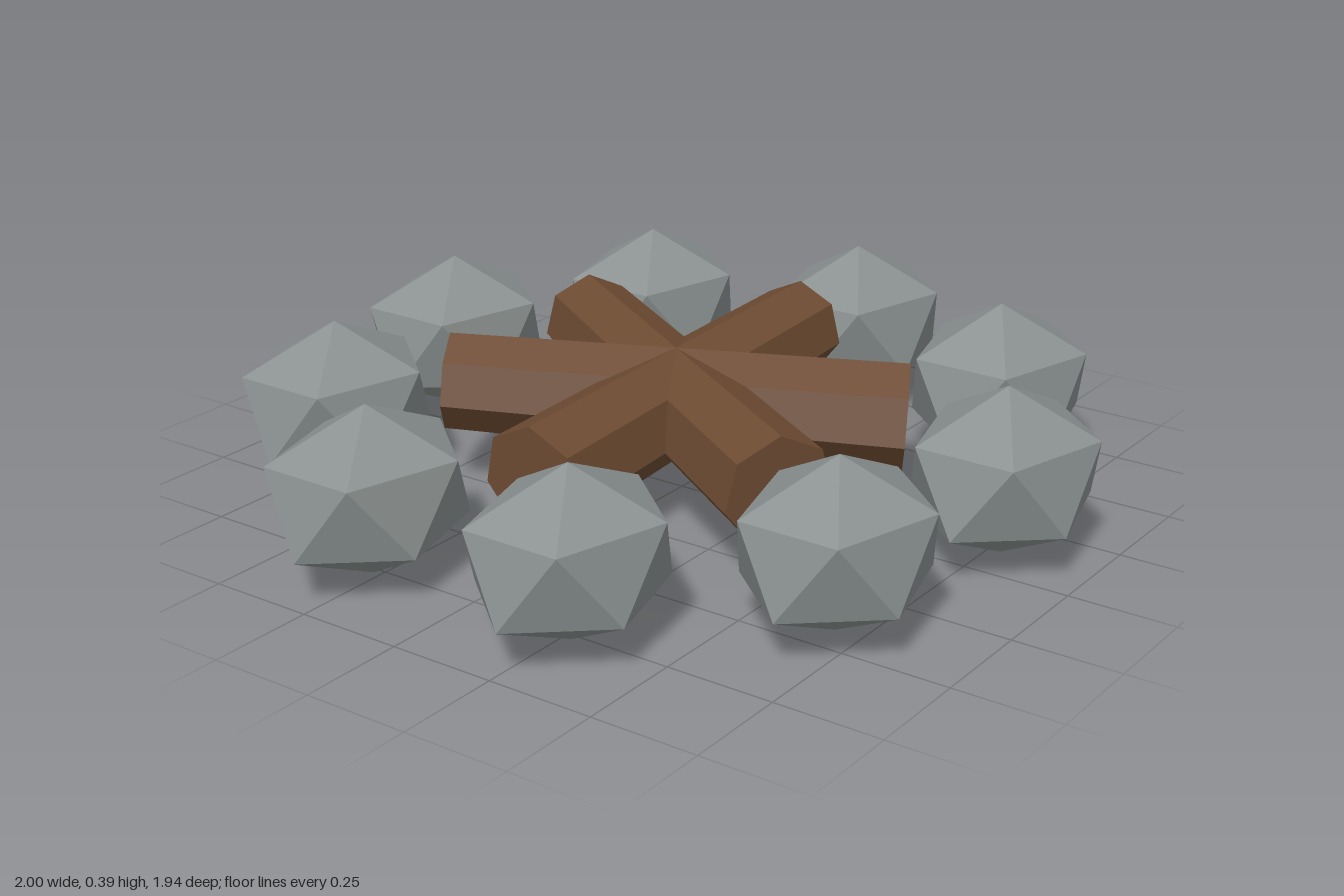
import * as THREE from 'three';

const CENTER_X = -0.0235;

export function createModel() {
  const group = new THREE.Group();
  group.name = 'campfire';

  const stone = new THREE.MeshStandardMaterial({ color: 0x8a9190, flatShading: true });
  stone.name = 'stone grey';
  const bark = new THREE.MeshStandardMaterial({ color: 0x6d4b32, flatShading: true });
  bark.name = 'bark brown';

  // Ring of nine identical stones: icosahedra standing on a corner, stretched along x
  const stoneGeometry = new THREE.IcosahedronGeometry(1, 0);
  stoneGeometry.rotateX(-Math.atan((1 + Math.sqrt(5)) / 2));
  stoneGeometry.rotateY(Math.PI / 2);
  stoneGeometry.scale(0.261, 0.195, 0.2235);

  const stoneRing = new THREE.Group();
  stoneRing.name = 'stoneRing';
  const count = 9;
  const radius = 0.79;
  for (let i = 0; i < count; i++) {
    const a = (i / count) * Math.PI * 2;
    const mesh = new THREE.Mesh(stoneGeometry, stone);
    mesh.name = `stone${i + 1}`;
    mesh.position.set(CENTER_X + radius * Math.cos(a), 0.195, radius * Math.sin(a));
    stoneRing.add(mesh);
  }
  group.add(stoneRing);

  // Three tapered seven-sided logs crossing in the middle, thin ends raised
  const logGeometry = new THREE.CylinderGeometry(0.114, 0.129, 1.055, 7);
  logGeometry.rotateZ(-Math.PI / 2);
  logGeometry.rotateX(-Math.PI / 2); // ridge on top
  logGeometry.rotateZ(0.05);

  const logs = new THREE.Group();
  logs.name = 'logs';
  for (let i = 0; i < 3; i++) {
    const mesh = new THREE.Mesh(logGeometry, bark);
    mesh.name = `log${i + 1}`;
    mesh.position.set(CENTER_X, 0.23, 0);
    mesh.rotation.y = (i * Math.PI) / 3;
    logs.add(mesh);
  }
  group.add(logs);

  return group;
}
